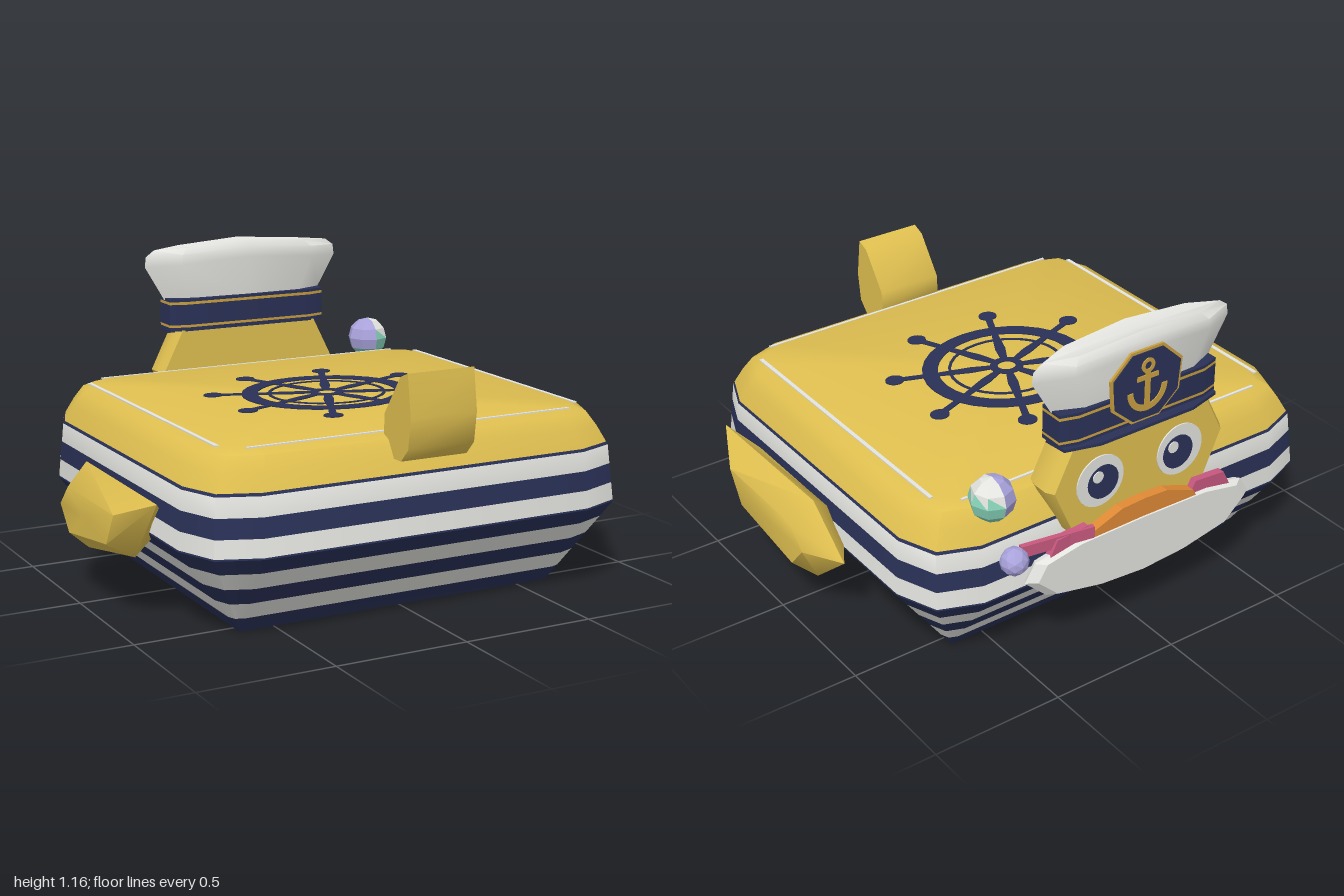
import * as THREE from 'three';
import { toCreasedNormals } from 'three/addons/utils/BufferGeometryUtils.js';

const mat = (name, color, side = THREE.FrontSide) => {
  const m = new THREE.MeshStandardMaterial({ color, side });
  m.name = name;
  return m;
};

// Skins a closed loop of cross-sections, with capped ends; slots give each band's material index.
function loft(rings, crease = 0.6, slots = [], capSlots = [0, 0]) {
  const n = rings[0].length, pos = [], index = [], groups = [];
  rings.forEach(r => r.forEach(p => pos.push(...p)));
  const addCentre = r => {
    const c = [0, 1, 2].map(k => r.reduce((s, p) => s + p[k], 0) / n);
    pos.push(...c);
    return pos.length / 3 - 1;
  };
  const last = rings.length - 1, c0 = addCentre(rings[0]), c1 = addCentre(rings[last]);
  const group = (slot, fn) => {
    const start = index.length;
    for (let j = 0; j < n; j++) fn(j, (j + 1) % n);
    groups.push([start, index.length - start, slot]);
  };
  for (let i = 0; i < last; i++) {
    const a = i * n, b = a + n;
    group(slots[i] ?? 0, (j, k) => index.push(a + j, a + k, b + k, a + j, b + k, b + j));
  }
  group(capSlots[0], (j, k) => index.push(c0, k, j));
  group(capSlots[1], (j, k) => index.push(c1, last * n + j, last * n + k));
  // turn the faces outward
  const v = i => new THREE.Vector3().fromArray(pos, i * 3);
  let volume = 0;
  for (let i = 0; i < index.length; i += 3)
    volume += v(index[i]).dot(v(index[i + 1]).cross(v(index[i + 2])));
  if (volume < 0)
    for (let i = 0; i < index.length; i += 3) [index[i], index[i + 1]] = [index[i + 1], index[i]];
  const g = new THREE.BufferGeometry();
  g.setAttribute('position', new THREE.Float32BufferAttribute(pos, 3));
  g.setIndex(index);
  groups.forEach(a => g.addGroup(...a));
  return toCreasedNormals(g, crease);
}

const poly = pts => new THREE.Shape(pts.map(p => new THREE.Vector2(...p)));
const disc = (r, hole = 0, sx = 1, sy = 1) => {
  const s = new THREE.Shape().absellipse(0, 0, r * sx, r * sy, 0, Math.PI * 2);
  if (hole) s.holes.push(new THREE.Path().absellipse(0, 0, hole * sx, hole * sy, 0, Math.PI * 2, true));
  return s;
};
const slab = (shape, depth) => new THREE.ExtrudeGeometry(shape, { depth, bevelEnabled: false, curveSegments: 16 });
const mirrorPts = half => [...half, ...half.slice().reverse().filter(p => p[0] !== 0).map(([x, y]) => [-x, y])];

export function createModel() {
  const root = new THREE.Group();
  root.name = 'duckBoat';
  const yellow = mat('yellow', 0xdfbf50), navy = mat('navy', 0x2a3157), white = mat('white', 0xe4e4e0),
    gold = mat('gold', 0xc9a040), orange = mat('orange', 0xe08a35), pink = mat('pink', 0xc8587f),
    purple = mat('lilac', 0xa9a3dc), teal = mat('mint', 0x86d3b8);
  const add = (name, geo, material, x = 0, y = 0, z = 0, parent = root) => {
    const m = new THREE.Mesh(geo, material);
    m.name = name;
    m.position.set(x, y, z);
    parent.add(m);
    return m;
  };

  // hull: [height, half width, half depth, corner size]
  const profile = [[0, 0.63, 0.545, 0.005], [0.32, 0.86, 0.777, 0.215], [0.53, 0.84, 0.752, 0.2],
    [0.6, 0.805, 0.72, 0.19], [0.65, 0.77, 0.688, 0.17], [0.67, 0.72, 0.64, 0.12]];
  const section = y => {
    let i = 1;
    while (i < profile.length - 1 && y > profile[i][0]) i++;
    const a = profile[i - 1], b = profile[i], t = (y - a[0]) / (b[0] - a[0]);
    const [, w, d, c] = a.map((v, k) => v + (b[k] - v) * t);
    const q = [[w, d - c], [w - 0.28 * c, d - 0.28 * c], [w - c, d]];
    const turn = (sx, sz, flip) => (flip ? q.slice().reverse() : q).map(([x, z]) => [x * sx, y, z * sz]);
    return [...turn(1, 1), ...turn(-1, 1, true), ...turn(-1, -1), ...turn(1, -1, true)];
  };
  const levels = [0, 0.06, 0.127, 0.193, 0.26, 0.32, 0.326, 0.39, 0.46, 0.53, 0.54, 0.6, 0.65, 0.67];
  const bands = [1, 2, 1, 2, 1, 1, 2, 1, 2, 1, 0, 0, 0];
  add('hull', loft(levels.map(section), 0.62, bands, [1, 0]), [yellow, navy, white]);

  // pale deck trim
  for (const s of [-1, 1]) {
    add('deckTrimSide', new THREE.BoxGeometry(0.015, 0.005, 1.15), white, s * 0.72, 0.669, 0);
    add('deckTrimEnd', new THREE.BoxGeometry(1.29, 0.005, 0.01), white, 0, 0.669, s * 0.642);
  }

  // painted ship's wheel on the deck
  const wheel = new THREE.Group();
  wheel.name = 'deckWheel';
  wheel.rotation.x = -Math.PI / 2;
  wheel.scale.set(1, 0.9, 1);
  wheel.position.y = 0.669;
  root.add(wheel);
  add('wheelRim', slab(disc(0.325, 0.265), 0.005), navy, 0, 0, 0, wheel);
  add('wheelInnerLine', slab(disc(0.225, 0.214), 0.005), navy, 0, 0, 0, wheel);
  add('wheelHub', slab(disc(0.065, 0.035), 0.005), navy, 0, 0, 0, wheel);
  const spoke = slab(poly([[0.05, -0.012], [0.14, -0.02], [0.27, -0.012], [0.42, -0.014],
    [0.42, 0.014], [0.27, 0.012], [0.14, 0.02], [0.05, 0.012]]), 0.005);
  for (let i = 0; i < 8; i++) {
    const a = (i + 0.5) * Math.PI / 4;
    add('wheelSpoke', spoke, navy, 0, 0, 0, wheel).rotation.z = a;
    add('wheelKnob', slab(disc(0.036), 0.005), navy, 0.432 * Math.cos(a), 0.432 * Math.sin(a), 0, wheel);
  }

  // wings, outline given as [z, y]
  const wingEdge = [[0.52, 0.48], [0.32, 0.245], [-0.12, 0.165], [-0.314, 0.33], [-0.12, 0.487]];
  const wingFace = [[0.34, 0.41], [0.27, 0.29], [-0.09, 0.24], [-0.17, 0.33], [-0.09, 0.41]];
  for (const s of [1, -1]) {
    const at = (pts, x) => pts.map(([z, y]) => [s * x, y, z]);
    add(s > 0 ? 'leftWing' : 'rightWing',
      loft([at(wingFace, 0.83), at(wingEdge, 0.915), at(wingFace, 1)], 0.85), yellow);
  }

  // upright tail
  const tail = [[0.813, 0.9], [0.764, 0.88], [0.66, 0.735], [0.657, 0.664], [0.706, 0.59],
    [0.773, 0.59], [0.82, 0.64], [0.835, 0.75]];
  add('tail', loft([-0.13, 0.13].map(x => tail.map(([z, y]) => [x, y, z])), 0.8), yellow);

  // flat head
  const headEdge = mirrorPts([[0, 0.38], [0.22, 0.39], [0.31, 0.49], [0.385, 0.66], [0.3, 0.83], [0, 0.84]]);
  const headAt = (z, k) => headEdge.map(([x, y]) => [x * k, 0.62 + (y - 0.62) * k, z]);
  add('head', loft([headAt(-0.66, 0.97), headAt(-0.7, 1), headAt(-0.76, 1), headAt(-0.788, 0.95)], 0.7), yellow);

  // eyes
  for (const s of [-1, 1]) {
    add('eyeWhite', slab(disc(0.1), 0.006), white, s * 0.175, 0.645, -0.793);
    add('iris', slab(disc(0.065), 0.006), navy, s * 0.165, 0.64, -0.797);
    add('eyeGlint', slab(disc(0.022), 0.006), white, s * 0.165 + 0.025, 0.668, -0.801);
  }

  // beak and cheeks
  add('beak', slab(poly(mirrorPts([[0.24, 0.44], [0.22, 0.475], [0.1, 0.52], [0, 0.525]]).reverse()), 0.04),
    orange, 0, 0, -0.825);
  for (const s of [-1, 1])
    add('cheek', slab(poly([[s * 0.2, 0.43], [s * 0.4, 0.43], [s * 0.37, 0.49], [s * 0.24, 0.5]]), 0.03),
      pink, 0, 0, -0.815);

  // white float under the beak
  const floatEdge = mirrorPts([[0, 0.218], [0.2, 0.232], [0.41, 0.275], [0.5, 0.36], [0.46, 0.425],
    [0.3, 0.455], [0, 0.46]]);
  const floatAt = (z, k) => floatEdge.map(([x, y]) => [x * k, 0.35 + (y - 0.35) * k, z]);
  add('float', loft([floatAt(-0.785, 0.97), floatAt(-0.805, 1), floatAt(-0.83, 0.92)], 0.5), white);

  // pink ribbon with a small bead
  const ribbon = add('ribbon', new THREE.BoxGeometry(0.28, 0.045, 0.02), pink, 0.36, 0.475, -0.798);
  ribbon.rotation.y = -0.16;
  add('smallBead', toCreasedNormals(new THREE.IcosahedronGeometry(0.052, 1), 0.2), purple, 0.53, 0.455, -0.785);

  // patchwork ball
  const ball = new THREE.SphereGeometry(0.082, 8, 6).toNonIndexed();
  ball.clearGroups();
  const p = ball.attributes.position;
  for (let i = 0; i < p.count; i += 3) {
    const [x, y] = ['getX', 'getY'].map(f => (p[f](i) + p[f](i + 1) + p[f](i + 2)) / 0.246);
    ball.addGroup(i, 3, y > 0.3 && x > 0.1 ? 2 : x > 0.15 || y < -0.4 ? 1 : 0);
  }
  ball.computeVertexNormals();
  add('ball', ball, [purple, teal, white], 0.59, 0.71, -0.742);

  // cap crown
  const lens = [[1, 0], [0.68, 0.85], [0, 1], [-0.68, 0.85], [-1, 0], [-0.68, -0.85], [0, -1], [0.68, -0.85]];
  const crown = [[0.94, 0.34, 0.055], [1.1, 0.42, 0.07], [1.14, 0.415, 0.07], [1.165, 0.38, 0.05]];
  add('capCrown', loft(crown.map(([y, w, d], i) =>
    lens.map(([x, z]) => [x * w, y - (i ? 0.025 * Math.abs(x) : 0), -0.727 + z * d])), 0.75), white);

  // cap band with gold piping
  const bandEdge = [[1, 0.7], [0.8, 1], [-0.8, 1], [-1, 0.7], [-1, -0.7], [-0.8, -1], [0.8, -1], [1, -0.7]];
  add('capBand', loft([0.82, 0.835, 0.845, 0.926, 0.937, 0.948].map(y =>
    bandEdge.map(([x, z]) => [x * 0.338, y, -0.724 + z * 0.067])), 0.6, [0, 1, 0, 1, 0]), [navy, gold]);

  // cap visor
  const visor = slab(poly([[-0.34, 0.7], [0.34, 0.7], [0.33, 0.79], [0.2, 0.825], [-0.2, 0.825], [-0.33, 0.79]]), 0.012);
  visor.rotateX(-Math.PI / 2);
  add('capVisor', visor, navy, 0, 0.812, 0);

  // cap badge with an anchor
  const badge = new THREE.Group();
  badge.name = 'capBadge';
  badge.position.set(0, 0.97, -0.806);
  root.add(badge);
  const oct = k => poly([[0.07, 0.14], [0.155, 0.06], [0.145, -0.06], [0.06, -0.135],
    [-0.06, -0.135], [-0.145, -0.06], [-0.155, 0.06], [-0.07, 0.14]].map(a => a.map(v => v * k)));
  add('badgeRim', slab(oct(1), 0.009), gold, 0, 0, 0, badge);
  add('badgeFace', slab(oct(0.93), 0.008), navy, 0, 0, -0.004, badge);
  add('anchorRing', slab(disc(0.028, 0.014), 0.006), gold, 0, 0.078, -0.008, badge);
  add('anchorShank', new THREE.BoxGeometry(0.022, 0.14, 0.006), gold, 0, -0.015, -0.005, badge);
  add('anchorStock', new THREE.BoxGeometry(0.09, 0.018, 0.006), gold, 0, 0.035, -0.005, badge);
  const arms = new THREE.Shape().absarc(0, 0, 0.085, Math.PI, Math.PI * 2);
  arms.absarc(0, 0, 0.062, Math.PI * 2, Math.PI, true);
  add('anchorArms', slab(arms, 0.006), gold, 0, -0.01, -0.008, badge);

  return root;
}
